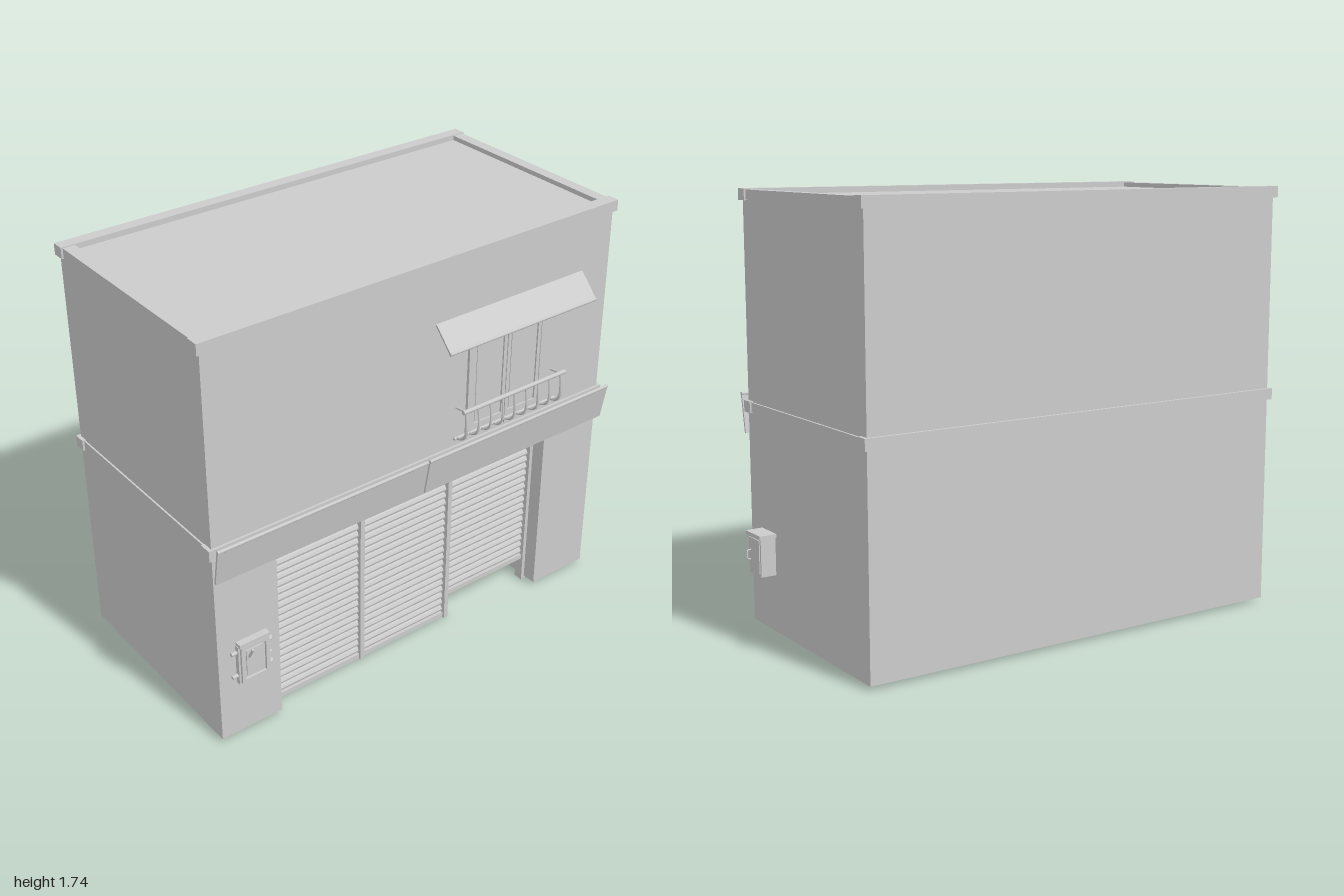
import * as THREE from 'three';

const mat = new THREE.MeshStandardMaterial({ color: 0xcccccc, side: THREE.DoubleSide, flatShading: true });
const smooth = new THREE.MeshStandardMaterial({ color: 0xcccccc });

function add(parent, name, geometry, material = mat) {
  const mesh = new THREE.Mesh(geometry, material);
  mesh.name = name;
  parent.add(mesh);
  return mesh;
}

// Box given by its limits on each axis
function block(parent, name, [x0, x1], [y0, y1], [z0, z1]) {
  const mesh = add(parent, name, new THREE.BoxGeometry(x1 - x0, y1 - y0, z1 - z0));
  mesh.position.set((x0 + x1) / 2, (y0 + y1) / 2, (z0 + z1) / 2);
  return mesh;
}

// Outline in (z, y), extruded along x
function sideExtrude(parent, name, points, [x0, x1]) {
  const shape = new THREE.Shape(points.map(([z, y]) => new THREE.Vector2(z, y)));
  const geo = new THREE.ExtrudeGeometry(shape, { depth: x1 - x0, bevelEnabled: false });
  geo.rotateY(-Math.PI / 2);
  geo.translate(x1, 0, 0);
  return add(parent, name, geo);
}

// Round bar along x
function rod(parent, name, [x0, x1], y, z, r) {
  const geo = new THREE.CylinderGeometry(r, r, x1 - x0, 12);
  geo.rotateZ(Math.PI / 2);
  const mesh = add(parent, name, geo, smooth);
  mesh.position.set((x0 + x1) / 2, y, z);
  return mesh;
}

function group(parent, name) {
  const g = new THREE.Group();
  g.name = name;
  parent.add(g);
  return g;
}

const WALL_X = [-0.985, 0.912], WALL_Z = [-0.512, 0.435];
const OPEN_X = [-0.71, 0.63], OPEN_TOP = 0.8;

function buildWalls(root) {
  const g = group(root, 'walls');
  block(g, 'upperStorey', WALL_X, [OPEN_TOP, 1.72], WALL_Z);
  block(g, 'rightPier', [WALL_X[0], OPEN_X[0]], [0.015, OPEN_TOP], WALL_Z);
  block(g, 'leftPier', [OPEN_X[1], WALL_X[1]], [0.015, OPEN_TOP], WALL_Z);
  block(g, 'backWall', OPEN_X, [0.015, OPEN_TOP], [WALL_Z[0], WALL_Z[0] + 0.006]);
  block(g, 'innerWall', OPEN_X, [0.015, OPEN_TOP], [0.235, 0.241]);
}

// Ring of trim: long bars front and back, slimmer bars at the sides
function buildTrim(root, name, y0, y1) {
  const g = group(root, name);
  for (const z of [[-0.525, -0.473], [0.393, 0.445]]) block(g, 'longTrim', [-1, 0.927], [y0, y1], z);
  for (const x of [[-0.992, -0.942], [0.872, 0.92]]) block(g, 'sideTrim', x, [y0 + 0.003, y1 - 0.004], [-0.473, 0.393]);
}

// Rolling shutter: a thin sheet of rounded slats with a bottom bar
function buildShutter(root, x, bottom) {
  const g = group(root, 'shutter');
  const top = 0.74, n = Math.round((top - bottom - 0.022) / 0.034), p = (top - bottom - 0.022) / n;
  const face = [];
  for (let i = 0; i < n; i++) {
    const y = bottom + 0.022 + i * p;
    face.push([0.345, y], [0.358, y + p * 0.2], [0.361, y + p * 0.5], [0.355, y + p * 0.85]);
  }
  face.push([0.345, top]);
  const back = face.map(([z, y]) => [z - 0.006, y]).reverse();
  sideExtrude(g, 'slats', [...face, ...back], x);
  block(g, 'bottomBar', x, [bottom, bottom + 0.022], [0.338, 0.364]);
  block(g, 'headBar', x, [0.74, 0.8], [0.335, 0.36]);
}

// Thin sloping canopy from one (z, y) edge to the other
function buildCanopy(root, name, x, a, b, thick) {
  const g = group(root, name);
  const len = Math.hypot(b[0] - a[0], b[1] - a[1]);
  const nz = -(b[1] - a[1]) / len * thick / 2, ny = (b[0] - a[0]) / len * thick / 2;
  sideExtrude(g, 'canopySheet', [
    [a[0] - nz, a[1] - ny], [b[0] - nz, b[1] - ny], [b[0] + nz, b[1] + ny], [a[0] + nz, a[1] + ny],
  ], x);
  rod(g, 'canopyEdge', x, b[1], b[0], 0.007);
}

function buildWindow(root) {
  const g = group(root, 'balconyDoor');
  const y0 = 0.93, y1 = 1.39;
  block(g, 'doorBack', [0.19, 0.58], [y0, y1], [0.43, 0.437]);
  for (const x of [[0.188, 0.21], [0.56, 0.582]]) block(g, 'doorJamb', x, [y0, y1], [0.43, 0.447]);
  block(g, 'doorHead', [0.21, 0.56], [1.378, y1], [0.43, 0.447]);
  for (const [a, b] of [[0.21, 0.383], [0.387, 0.56]]) {
    const leaf = group(g, 'doorLeaf');
    for (const x of [[a, a + 0.016], [b - 0.016, b]]) block(leaf, 'stile', x, [y0, 1.378], [0.43, 0.444]);
    for (const y of [[y0, 0.985], [1.36, 1.378]]) block(leaf, 'crossRail', [a + 0.016, b - 0.016], y, [0.43, 0.444]);
    block(leaf, 'panel', [a + 0.023, b - 0.023], [0.992, 1.353], [0.43, 0.44]);
  }
}

function buildBalcony(root) {
  const g = group(root, 'balconyRailing');
  const xs = [0.125, 0.657];
  rod(g, 'topRail', xs, 1.093, 0.493, 0.009);
  rod(g, 'bottomRail', xs, 0.952, 0.445, 0.006);
  const bow = new THREE.CatmullRomCurve3([[1.093, 0.493], [1.04, 0.499], [1.0, 0.499], [0.972, 0.487], [0.957, 0.465], [0.95, 0.435]]
    .map(([y, z]) => new THREE.Vector3(0, y, z)));
  for (let i = 0; i < 9; i++) {
    const r = i % 8 === 0 ? 0.006 : 0.0045;
    add(g, 'baluster', new THREE.TubeGeometry(bow, 18, r, 8), smooth).position.x = 0.14 + i * 0.062;
  }
  // Arms tying the top rail to the wall
  for (const x of [0.14, 0.636]) {
    const arm = new THREE.LineCurve3(new THREE.Vector3(x, 1.085, 0.435), new THREE.Vector3(x, 1.093, 0.493));
    add(g, 'wallArm', new THREE.TubeGeometry(arm, 1, 0.005, 8), smooth);
  }
}

// Electrical cabinet on the front wall
function buildCabinet(root) {
  const g = group(root, 'frontCabinet');
  block(g, 'cabinetBody', [-0.908, -0.767], [0.262, 0.44], [0.435, 0.455]);
  block(g, 'cabinetLid', [-0.905, -0.77], [0.437, 0.453], [0.435, 0.464]);
  for (const x of [[-0.9, -0.885], [-0.79, -0.775]]) block(g, 'doorFrame', x, [0.268, 0.437], [0.45, 0.465]);
  for (const y of [[0.268, 0.283], [0.422, 0.437]]) block(g, 'doorFrame', [-0.885, -0.79], y, [0.45, 0.465]);
  block(g, 'doorPanel', [-0.875, -0.8], [0.293, 0.412], [0.45, 0.46]);
  for (const y of [0.3, 0.41]) rod(g, 'mountingBar', [-0.932, -0.752], y, 0.443, 0.008);
  for (const y of [0.3, 0.35, 0.41]) rod(g, 'hinge', [-0.775, -0.757], y, 0.45, 0.006);
  const lever = block(g, 'lever', [-0.868, -0.86], [0.375, 0.435], [0.471, 0.478]);
  lever.rotation.x = 0.5;
}

// Meter box on the left side wall
function buildMeterBox(root) {
  const g = group(root, 'sideMeterBox');
  block(g, 'meterBody', [0.91, 0.975], [0.247, 0.402], [0.226, 0.332]);
  block(g, 'meterLid', [0.91, 0.984], [0.4, 0.415], [0.215, 0.34]);
  block(g, 'meterDoor', [0.97, 0.979], [0.258, 0.393], [0.235, 0.323]);
  const pull = new THREE.CatmullRomCurve3([[0.975, 0.303], [0.992, 0.306], [0.994, 0.325], [0.992, 0.339], [0.975, 0.342]]
    .map(([x, y]) => new THREE.Vector3(x, y, 0.312)));
  add(g, 'handle', new THREE.TubeGeometry(pull, 16, 0.0035, 8), smooth);
}

export function createModel() {
  const root = new THREE.Group();
  root.name = 'shopHouse';
  buildWalls(root);
  buildTrim(root, 'floorTrim', 0.868, 0.914);
  buildTrim(root, 'roofTrim', 1.698, 1.743);

  // Shutters and the guide posts between them
  buildShutter(root, [-0.692, -0.275], 0.003);
  buildShutter(root, [-0.255, 0.17], 0.003);
  buildShutter(root, [0.19, 0.615], 0.108);
  for (const x of [-0.701, -0.265, 0.18, 0.624]) block(root, 'guidePost', [x - 0.01, x + 0.01], [0, 0.8], [0.333, 0.374]);

  // Canopies over the shop front and the balcony
  for (const x of [[-0.993, -0.04], [-0.032, 0.918]]) buildCanopy(root, 'shopCanopy', x, [0.461, 0.777], [0.489, 0.932], 0.009);
  buildCanopy(root, 'balconyCanopy', [0.026, 0.77], [0.433, 1.48], [0.519, 1.391], 0.008);

  buildWindow(root);
  buildBalcony(root);
  buildCabinet(root);
  buildMeterBox(root);
  return root;
}
